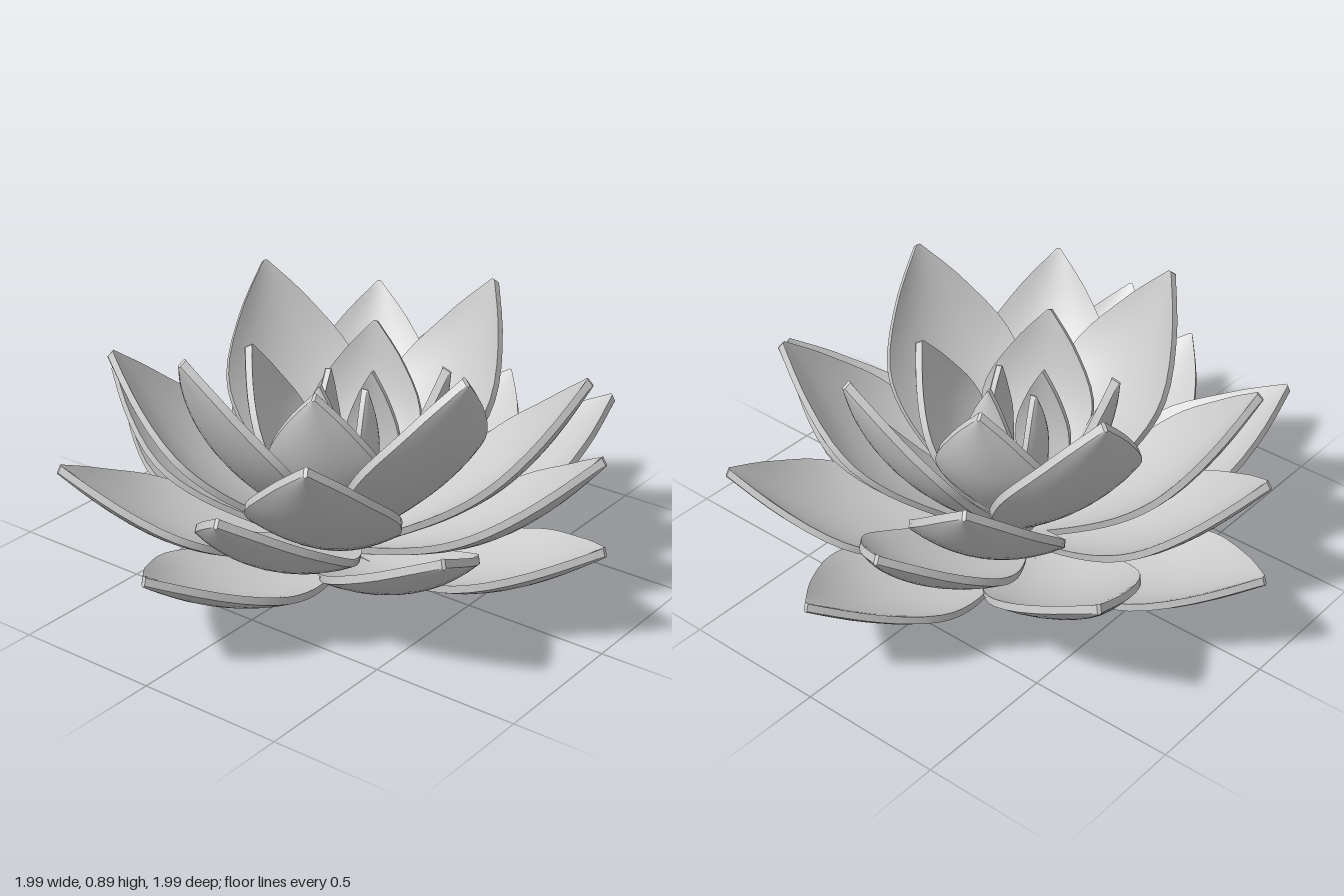
import * as THREE from 'three';

const DEG = Math.PI / 180;

// petal outline: x = distance along the petal, y = half width
const outline = new THREE.SplineCurve([
  [0, 0.05], [0.15, 0.1], [0.35, 0.185], [0.53, 0.238], [0.68, 0.23], [0.86, 0.125], [1, 0.006],
].map(([u, w]) => new THREE.Vector2(u, w)));

// rings from the outside in: four petals each, tip at (radius, height)
const rings = [
  { name: 'lowestPetal', angle: 0, radius: 0.99, height: 0.355, baseY: 0.05 },
  { name: 'lowPetal', angle: 54.5, radius: 0.95, height: 0.48, baseY: 0.035 },
  { name: 'lowerMiddlePetal', angle: 12, radius: 0.885, height: 0.555, baseY: 0.03 },
  { name: 'upperMiddlePetal', angle: 28.7, radius: 0.785, height: 0.71, baseY: 0.025 },
  { name: 'highPetal', angle: -17.2, radius: 0.615, height: 0.875, baseY: 0.025, shift: [0, -8, 0, 0] },
  { name: 'innerPetal', angle: 20, radius: 0.335, height: 0.745, baseY: 0.03, size: 0.8 },
  { name: 'heartPetal', angle: 60, radius: 0.03, height: 0.67, baseY: 0.04, size: 0.4, offset: 0.08, spin: 45 },
];

// a box bent into a cupped, upward curving petal
function petalGeometry({ radius, height, baseY, size = 1, offset }) {
  const baseR = offset ? 0 : -0.05;
  const length = Math.hypot(radius - baseR, height - baseY);
  const tilt = Math.atan2(height - baseY, radius - baseR);
  const geo = new THREE.BoxGeometry(2, 1, 1, 10, 1, 20);
  const pos = geo.attributes.position;
  for (let i = 0; i < pos.count; i++) {
    const v = pos.getX(i);
    const { x: u, y: half } = outline.getPoint(pos.getZ(i) + 0.5);
    const thickness = 0.034 * (size < 0.5 ? 0.7 : 1) * (1 - 0.25 * v * v);
    const sag = 0.1 * size * Math.sin(Math.PI * Math.pow(Math.min(u, 1), 1.3));
    const cup = 0.06 * size * v * v * (half / 0.24);
    pos.setXYZ(i, v * half * size, pos.getY(i) * thickness - sag + cup, u * length);
  }
  geo.rotateX(-tilt);
  geo.translate(0, baseY, baseR);
  geo.computeVertexNormals();
  return geo;
}

export function createModel() {
  const flower = new THREE.Group();
  flower.name = 'lotusFlower';
  const material = new THREE.MeshStandardMaterial({ color: 0xcccccc });

  for (const ring of rings) {
    const geo = petalGeometry(ring);
    const group = new THREE.Group();
    group.name = ring.name + 'Ring';
    for (let k = 0; k < 4; k++) {
      const arm = new THREE.Group();
      arm.name = ring.name;
      arm.rotation.y = (ring.angle + 90 * (k + 1) + (ring.shift ? ring.shift[k] : 0)) * DEG;
      const petal = new THREE.Mesh(geo, material);
      petal.name = ring.name + 'Blade';
      petal.position.z = ring.offset || 0;
      petal.rotation.y = (ring.spin || 0) * DEG;
      arm.add(petal);
      group.add(arm);
    }
    flower.add(group);
  }

  // small flat foot where the petals meet
  const foot = new THREE.Mesh(new THREE.CylinderGeometry(0.13, 0.075, 0.035, 16), material);
  foot.name = 'foot';
  foot.position.y = 0.0175;
  flower.add(foot);
  return flower;
}
